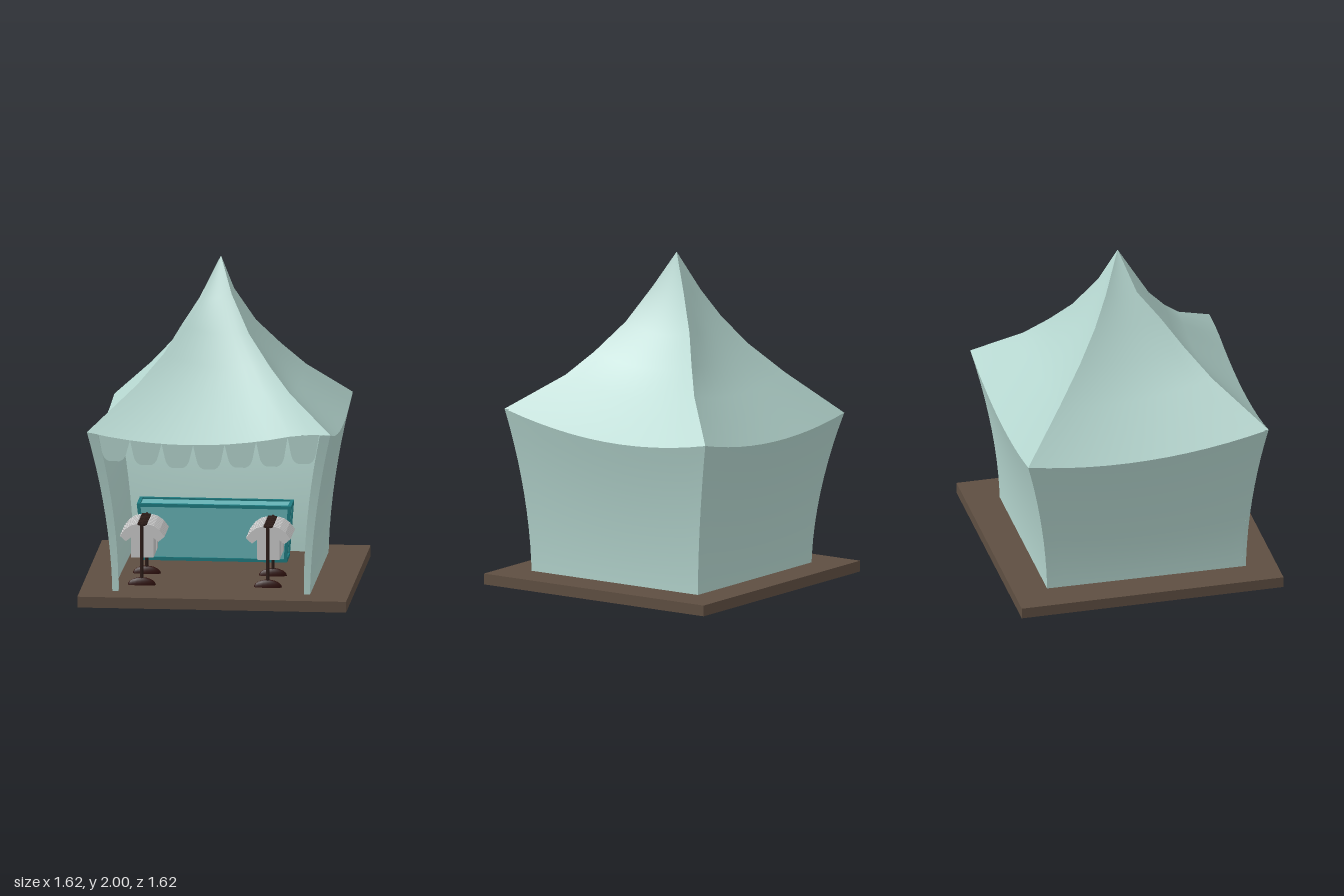
import * as THREE from 'three';

const mat = (color) => new THREE.MeshStandardMaterial({ color, side: THREE.DoubleSide });
const cloth = mat(0xb4d5ce), wood = mat(0x5e4e41), darkTeal = mat(0x1f7b80), teal = mat(0x66b2b5);
const iron = mat(0x2c1c18), footIron = mat(0x30120f), shirtCloth = mat(0xcccccc);
const lerp = THREE.MathUtils.lerp;

// roof ridges from eave corner to apex: front +x, back +x, back -x, front -x
const apex = [-0.02, 2, -0.02];
const ridges = [
  [[0.708, 1.07, 0.73], [0.44, 1.265, 0.47], [0.31, 1.4, 0.35], [0.17, 1.575, 0.22], [0.055, 1.79, 0.1], apex],
  [[0.708, 1.02, -0.75], [0.45, 1.245, -0.485], [0.31, 1.395, -0.365], [0.17, 1.56, -0.25], [0.05, 1.78, -0.12], apex],
  [[-0.73, 0.98, -0.75], [-0.48, 1.24, -0.49], [-0.33, 1.42, -0.33], [-0.22, 1.59, -0.21], [-0.13, 1.76, -0.12], apex],
  [[-0.76, 1.06, 0.73], [-0.48, 1.3, 0.45], [-0.335, 1.46, 0.31], [-0.235, 1.62, 0.19], [-0.14, 1.76, 0.07], apex],
];
const base = [[0.575, 0.625], [0.575, -0.6], [-0.6, -0.6], [-0.615, 0.625]];
// depth of the droop of each eave, and where along the eave it ends
const droop = [[0.09, 1], [0.075, 1], [0.08, 1], [0.073, 0.87]];

function add(parent, name, geometry, material, x = 0, y = 0, z = 0) {
  const mesh = new THREE.Mesh(geometry, material);
  mesh.name = name;
  mesh.position.set(x, y, z);
  parent.add(mesh);
  return mesh;
}

// surface over u, v in 0..1
function grid(nu, nv, point) {
  const pos = [], index = [];
  for (let j = 0; j <= nv; j++)
    for (let i = 0; i <= nu; i++) {
      pos.push(...point(i / nu, j / nv));
      if (i < nu && j < nv) {
        const a = j * (nu + 1) + i, b = a + nu + 1;
        index.push(a, a + 1, b + 1, a, b + 1, b);
      }
    }
  const g = new THREE.BufferGeometry();
  g.setAttribute('position', new THREE.Float32BufferAttribute(pos, 3));
  g.setIndex(index);
  g.computeVertexNormals();
  return g;
}

// drooping line between two neighbouring ridges; row 0 is the eave
function roofLine(side, u, row) {
  const a = ridges[side][row], b = ridges[(side + 1) % 4][row];
  const [depth, end] = droop[side], s = Math.min(1, u / end);
  const y = lerp(a[1], b[1], u);
  const fall = depth * 4 * s * (1 - s) * Math.min(1, (2 - y) / 0.95);
  return [lerp(a[0], b[0], u), y - fall, lerp(a[2], b[2], u)];
}

const roofPanel = (side) => grid(12, 5, (u, v) => roofLine(side, u, Math.round(v * 5)));

// wall flaring outward from the floor to the eave
const flare = (t) => Math.pow(t, 1.85);
function wallPanel(side) {
  const a = base[side], b = base[(side + 1) % 4];
  return grid(12, 10, (u, t) => {
    const e = roofLine(side, u, 0), f = flare(t);
    return [lerp(lerp(a[0], b[0], u), e[0], f), lerp(0.01, e[1], t), lerp(lerp(a[1], b[1], u), e[2], f)];
  });
}

// folded hem along the front edge of a side wall
function hem(corner, inward) {
  const loop = [[0, 0], [1, 0], [1, 1], [0, 1], [0, 0]];
  const faces = new THREE.Group();
  faces.name = 'frontHem';
  const top = ridges[corner][0];
  for (let k = 0; k < 4; k++) {
    add(faces, 'hemFace', grid(1, 10, (u, t) => {
      const f = flare(t), w = lerp(0.035, 0.065, t);
      const [s, d] = loop[k + u];
      return [
        lerp(base[corner][0], top[0], f) + inward * s * w,
        lerp(0.01, top[1] - 0.012 * s, t),
        lerp(base[corner][1], top[2], f) - 0.025 * d,
      ];
    }), cloth);
  }
  return faces;
}

// row of rounded scallops under the front eave
function valance() {
  const g = new THREE.Group();
  g.name = 'valance';
  const start = -0.69, step = 0.19;
  const edgeY = (x) => roofLine(3, (x + 0.76) / 1.468, 0)[1];
  [0.885, 0.865, 0.85, 0.845, 0.86, 0.87, 0.89].forEach((yb, i) => {
    const x0 = start + i * step, x1 = x0 + step, xm = (x0 + x1) / 2;
    const s = new THREE.Shape();
    s.moveTo(x0, edgeY(x0));
    s.lineTo(x0 + 0.02, yb + 0.06);
    s.quadraticCurveTo(x0 + 0.03, yb + 0.01, xm - 0.03, yb);
    s.lineTo(xm + 0.03, yb);
    s.quadraticCurveTo(x1 - 0.03, yb + 0.01, x1 - 0.02, yb + 0.06);
    s.lineTo(x1, edgeY(x1));
    s.lineTo(xm, edgeY(xm));
    add(g, 'scallop', new THREE.ShapeGeometry(s, 6), cloth, 0, 0, 0.728);
  });
  return g;
}

function shirtGeometry() {
  const half = [[0.035, 0.435], [0.07, 0.425], [0.105, 0.4], [0.135, 0.36], [0.098, 0.328], [0.068, 0.352], [0.068, 0.23]];
  const pts = [...half, ...half.map(([x, y]) => [-x, y]).reverse(), [0, 0.415]];
  const shape = new THREE.Shape(pts.map(([x, y]) => new THREE.Vector2(x, y)));
  return new THREE.ExtrudeGeometry(shape, { depth: 0.026, bevelEnabled: false });
}

// rail on two posts with a row of shirts
function clothesRack(x) {
  const g = new THREE.Group();
  g.name = 'clothesRack';
  g.position.x = x;
  const foot = new THREE.SphereGeometry(0.085, 16, 6, 0, Math.PI * 2, 0, Math.PI / 2).scale(1, 0.55, 0.25);
  for (const z of [0.44, 0.11]) {
    add(g, 'post', new THREE.CylinderGeometry(0.01, 0.01, 0.36, 8), iron, 0, 0.25, z);
    add(g, 'foot', foot, footIron, 0, 0.067, z);
  }
  add(g, 'rail', new THREE.CylinderGeometry(0.01, 0.01, 0.35, 8).rotateX(Math.PI / 2), iron, 0, 0.43, 0.275);
  const shirt = shirtGeometry();
  for (let i = 0; i < 8; i++) {
    const z = 0.128 + i * 0.038;
    add(g, 'shirt', shirt, shirtCloth, 0, 0, z);
    add(g, 'hanger', new THREE.BoxGeometry(0.055, 0.014, 0.026), iron, 0, 0.432, z + 0.013);
  }
  return g;
}

// counter that widens toward its top, with framed panels
function counter() {
  const g = new THREE.Group();
  g.name = 'counter';
  const corner = (sx, sz, t) => new THREE.Vector3(
    sx < 0 ? lerp(-0.5, -0.54, t) : lerp(0.345, 0.37, t),
    lerp(0.077, 0.403, t),
    -0.365 + sz * 0.09,
  );
  const body = new THREE.BoxGeometry(2, 2, 2);
  const p = body.attributes.position;
  for (let i = 0; i < p.count; i++) {
    const c = corner(p.getX(i), p.getZ(i), (p.getY(i) + 1) / 2);
    p.setXYZ(i, c.x, c.y, c.z);
  }
  body.computeVertexNormals();
  add(g, 'counterPanels', body, teal);
  const bar = (a, b) => {
    const m = add(g, 'counterFrame', new THREE.BoxGeometry(0.02, 0.02, a.distanceTo(b) + 0.015), darkTeal);
    m.position.copy(a).lerp(b, 0.5);
    m.lookAt(b);
  };
  for (const s of [-1, 1]) {
    for (const t of [0, 1]) {
      bar(corner(-1, s, t), corner(1, s, t));
      bar(corner(s, -1, t), corner(s, 1, t));
    }
    for (const q of [-1, 1]) bar(corner(s, q, 0.02), corner(s, q, 1));
  }
  return g;
}

export function createModel() {
  const model = new THREE.Group();
  model.name = 'marketTent';

  // platform, open underneath
  const deck = new THREE.BoxGeometry(1.62, 0.066, 1.62);
  const faces = Array.from(deck.index.array);
  faces.splice(18, 6);
  deck.setIndex(faces);
  deck.clearGroups();
  add(model, 'platform', deck, wood, 0, 0.033, 0);

  // canopy and walls, open at the front
  for (let side = 0; side < 4; side++) {
    add(model, 'roofPanel', roofPanel(side), cloth);
    if (side < 3) add(model, 'wall', wallPanel(side), cloth);
  }
  model.add(hem(0, -1), hem(3, 1), valance());

  // furnishings
  model.add(clothesRack(-0.455), clothesRack(0.305), counter());
  return model;
}
